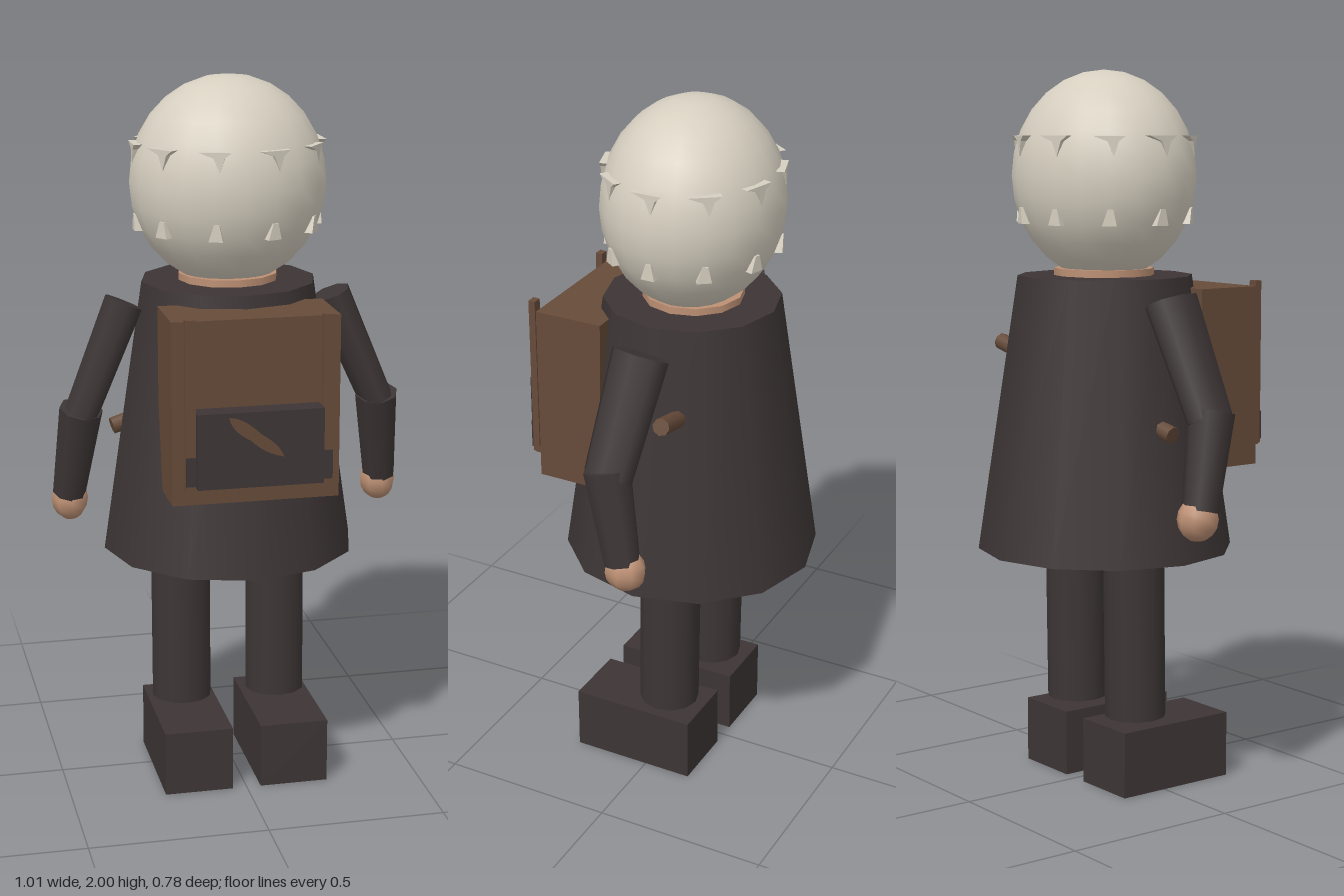
import * as THREE from 'three';

const material = (name, color) => {
  const m = new THREE.MeshStandardMaterial({ color });
  m.name = name;
  return m;
};

export function createModel() {
  const cloth = material('darkCloth', 0x3d3535);
  const leather = material('brownLeather', 0x664b39);
  const shell = material('creamShell', 0xd6cfc0);
  const skin = material('skin', 0xbd9074);
  const model = new THREE.Group();
  model.name = 'figure';

  const add = (name, geometry, mat, x = 0, y = 0, z = 0) => {
    const mesh = new THREE.Mesh(geometry, mat);
    mesh.name = name;
    mesh.position.set(x, y, z);
    model.add(mesh);
    return mesh;
  };
  const box = (name, mat, w, h, d, x, y, z) =>
    add(name, new THREE.BoxGeometry(w, h, d), mat, x, y, z);

  // Tapered tube from one point (radius ra) to another (radius rb), flattened in x
  const limb = (name, mat, a, b, ra, rb, flat, sides) => {
    const from = new THREE.Vector3(...a), to = new THREE.Vector3(...b);
    const dir = from.clone().sub(to);
    const geometry = new THREE.CylinderGeometry(ra, rb, dir.length(), sides);
    geometry.scale(flat, 1, 1);
    const mid = from.add(to).multiplyScalar(0.5);
    const mesh = add(name, geometry, mat, mid.x, mid.y, mid.z);
    mesh.quaternion.setFromUnitVectors(new THREE.Vector3(0, 1, 0), dir.normalize());
  };

  // Head and neck
  const center = { y: 1.71, z: -0.035 };
  const head = add('head', new THREE.SphereGeometry(1, 20, 14), shell, 0, center.y, center.z);
  head.scale.set(0.275, 0.29, 0.247);
  add('neck', new THREE.CylinderGeometry(0.14, 0.14, 0.1, 12), skin, 0, 1.405, center.z);

  // Small raised chips around the head in two rows
  const chip = (points, depth) => new THREE.ExtrudeGeometry(
    new THREE.Shape(points.map(([x, y]) => new THREE.Vector2(x, y))),
    { depth, bevelEnabled: false });
  const upperChip = chip([[-0.045, 0], [-0.005, -0.015], [0.012, -0.055], [0.025, -0.015], [0.045, 0]], 0.025);
  const lowerChip = chip([[-0.02, 0], [0.02, 0], [0.01, 0.045], [-0.005, 0.045]], 0.025);
  for (let i = 0; i < 10; i++) {
    const angle = (i + 0.5) * Math.PI / 5;
    const sx = Math.sin(angle), cz = Math.cos(angle);
    for (const [name, geometry, y, out] of [
      ['upperChip', upperChip, 1.82, 0.885], ['lowerChip', lowerChip, 1.58, 0.87]]) {
      const mesh = add(name, geometry, shell, sx * 0.275 * out, y, center.z + cz * 0.247 * out);
      mesh.rotation.y = angle;
    }
  }

  // Coat
  add('coat', new THREE.CylinderGeometry(0.245, 0.36, 0.77, 12), cloth, 0, 1.05, -0.032);

  // Arms, hands, legs and boots
  for (const s of [1, -1]) {
    limb('upperArm', cloth, [0.295 * s, 1.38, -0.03], [0.427 * s, 1.07, 0], 0.085, 0.073, 0.66, 8);
    limb('forearm', cloth, [0.425 * s, 1.09, 0.005], [0.455 * s, 0.83, -0.055], 0.068, 0.052, 0.9, 8);
    const hand = add('hand', new THREE.SphereGeometry(1, 8, 8), skin, 0.453 * s, 0.81, -0.062);
    hand.scale.set(0.052, 0.06, 0.06);
    limb('leg', cloth, [0.139 * s, 0.72, -0.037], [0.139 * s, 0.2, -0.03], 0.086, 0.086, 1, 12);
    box('boot', cloth, 0.195, 0.185, 0.365, 0.138 * s, 0.0925, 0.0425);
  }

  // Pack body: side profile swept across the width
  const profile = new THREE.Shape([
    [0.13, 1.4], [0.135, 1.11], [0.178, 0.895], [0.33, 0.895], [0.33, 1.4],
  ].map(([z, y]) => new THREE.Vector2(-z, y)));
  const pack = new THREE.ExtrudeGeometry(profile, { depth: 0.46, bevelEnabled: false });
  pack.rotateY(Math.PI / 2);
  add('packBody', pack, leather, -0.23, 0, 0);

  // Pack straps, lower bar and pocket
  for (const s of [1, -1]) {
    box('packStrap', leather, 0.027, 0.465, 0.02, 0.187 * s, 1.18, 0.361);
    box('strapPatch', cloth, 0.027, 0.08, 0.006, 0.187 * s, 1.0, 0.372);
  }
  box('packBar', leather, 0.4, 0.02, 0.04, 0, 0.955, 0.345);
  box('packPocket', cloth, 0.345, 0.208, 0.062, 0, 1.058, 0.36);

  // Leaf patch on the pocket
  const leaf = new THREE.Shape();
  leaf.moveTo(-0.088, 1.15);
  leaf.quadraticCurveTo(-0.05, 1.15, 0, 1.1);
  leaf.quadraticCurveTo(0.05, 1.07, 0.062, 1.035);
  leaf.quadraticCurveTo(0.01, 1.045, -0.03, 1.085);
  leaf.quadraticCurveTo(-0.08, 1.11, -0.088, 1.15);
  add('pocketLeaf', new THREE.ShapeGeometry(leaf, 6), leather, 0, 0, 0.3925);

  // Rod passing through the back of the coat
  limb('rod', leather, [0.375, 1.225, -0.132], [-0.33, 1.02, -0.05], 0.024, 0.024, 1, 8);

  return model;
}
